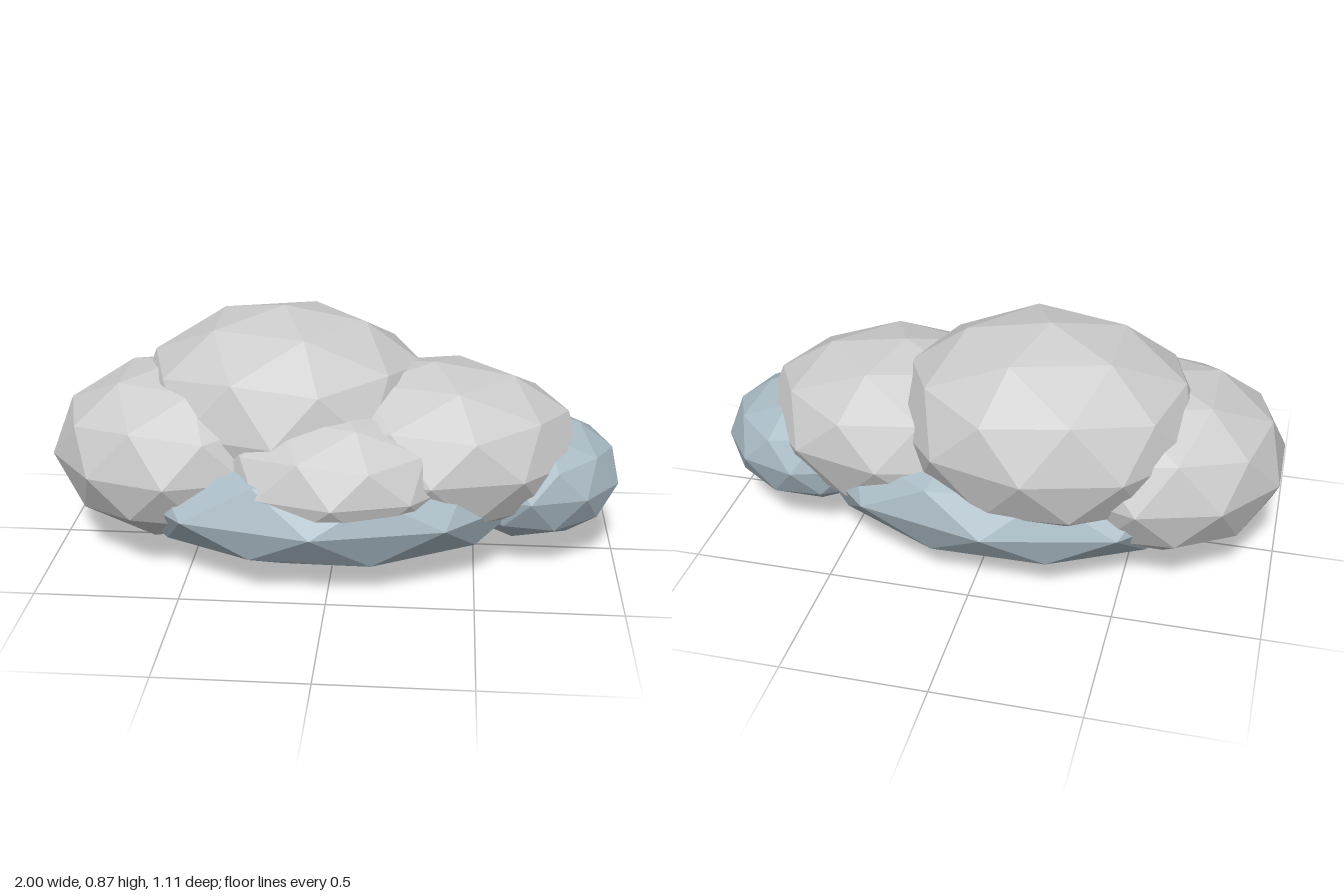
import * as THREE from 'three';

const POLE_TILT = -Math.atan(2 / (1 + Math.sqrt(5)));

// Faceted ellipsoid with a vertex at its top and bottom
function puff(name, material, center, radii) {
  const geometry = new THREE.IcosahedronGeometry(1, 1);
  geometry.rotateZ(POLE_TILT);
  geometry.scale(...radii);
  geometry.computeVertexNormals();
  const mesh = new THREE.Mesh(geometry, material);
  mesh.name = name;
  mesh.position.set(...center);
  return mesh;
}

export function createModel() {
  const cloud = new THREE.Group();
  cloud.name = 'cloud';

  const grey = new THREE.MeshStandardMaterial({ color: 0xcccccc, flatShading: true });
  const blue = new THREE.MeshStandardMaterial({ color: 0xa9bac4, flatShading: true });

  cloud.add(
    // Shaded lower puffs
    puff('basePuff', blue, [-0.05, 0.26, 0.01], [0.76, 0.26, 0.545]),
    puff('leftEndPuff', blue, [0.686, 0.29, -0.03], [0.33, 0.225, 0.315]),
    // Bright upper puffs
    puff('topPuff', grey, [-0.19, 0.505, -0.085], [0.55, 0.365, 0.468]),
    puff('rightPuff', grey, [-0.553, 0.37, 0], [0.47, 0.317, 0.44]),
    puff('leftPuff', grey, [0.345, 0.393, -0.005], [0.53, 0.308, 0.415]),
    puff('frontPuff', grey, [0.02, 0.36, 0.17], [0.44, 0.25, 0.37])
  );
  return cloud;
}
